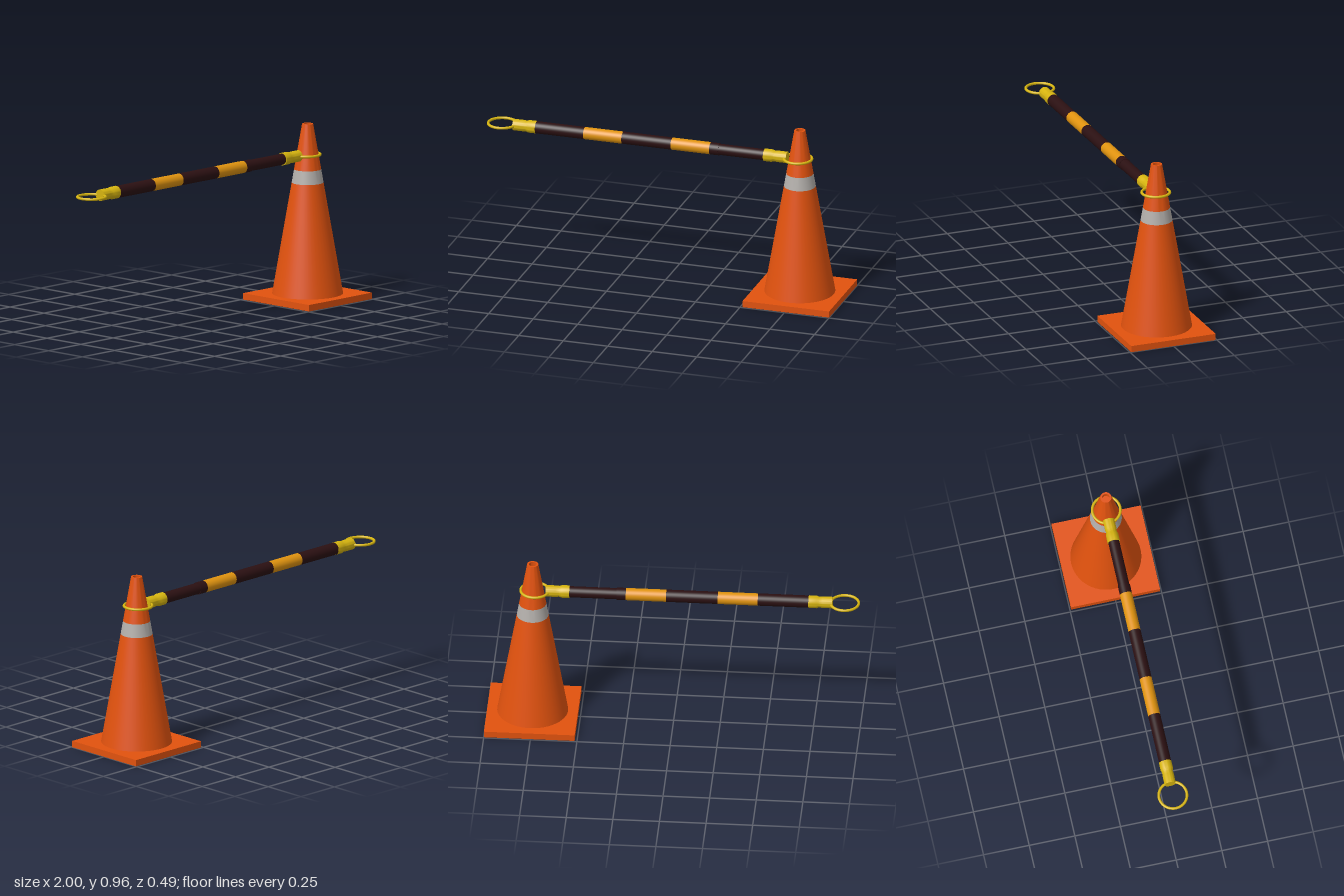
import * as THREE from 'three';
import { toCreasedNormals } from 'three/addons/utils/BufferGeometryUtils.js';

const mat = (name, color) => {
  const m = new THREE.MeshStandardMaterial({ color });
  m.name = name;
  return m;
};

export function createModel() {
  const orange = mat('cone orange', 0xe2520e);
  const grey = mat('reflective grey', 0xb3afab);
  const yellow = mat('cap yellow', 0xd6b40f);
  const amber = mat('bar amber', 0xe0930f);
  const dark = mat('bar dark', 0x2b1012);

  const model = new THREE.Group();
  const CONE_X = 0.756, BAR_Y = 0.791;

  const add = (name, geometry, material, x, y, parent = model) => {
    const mesh = new THREE.Mesh(geometry, material);
    mesh.name = name;
    mesh.position.set(x, y, 0);
    parent.add(mesh);
    return mesh;
  };
  // Turned shape from [radius, height] pairs, with crisp corners
  const turned = (points, sides = 48) => toCreasedNormals(
    new THREE.LatheGeometry(points.map(([r, h]) => new THREE.Vector2(r, h)), sides), 0.5);

  // Traffic cone: square foot, tapered body, grey band, hollow tip
  const cone = new THREE.Group();
  cone.name = 'trafficCone';
  model.add(cone);
  const FOOT = 0.035, TOP = 0.957;
  const radiusAt = (y) => 0.19 + (0.03 - 0.19) * (y - FOOT) / (TOP - FOOT);
  const ringPoint = (y) => [radiusAt(y), y];
  add('foot', new THREE.BoxGeometry(0.487, FOOT, 0.487), orange, CONE_X, FOOT / 2, cone);
  add('lowerCone', turned([ringPoint(FOOT), ringPoint(0.638)]), orange, CONE_X, 0, cone);
  add('reflectiveBand', turned([ringPoint(0.638), ringPoint(0.71)]), grey, CONE_X, 0, cone);
  add('coneTip', turned([ringPoint(0.71), ringPoint(TOP), [0.02, TOP], [0.022, 0.92], [0, 0.92]]),
    orange, CONE_X, 0, cone);

  // Striped bar lying along x: [start, end, radius, material]
  const bar = new THREE.Group();
  bar.name = 'stripedBar';
  model.add(bar);
  const stripes = [
    [-0.725, -0.453, 0.033, dark],
    [-0.453, -0.238, 0.033, amber],
    [-0.238, 0.039, 0.033, dark],
    [0.039, 0.255, 0.033, amber],
    [0.255, 0.305, 0.033, dark],
    [0.305, 0.562, 0.03, dark],
  ];
  stripes.forEach(([a, b, r, material], i) => {
    const stripe = add(`barStripe${i + 1}`, new THREE.CylinderGeometry(r, r, b - a, 32),
      material, (a + b) / 2, BAR_Y, bar);
    stripe.rotation.z = -Math.PI / 2;
  });

  // End caps: a collar, a slight waist and a socket that holds the ring
  const capProfile = [[0, 0], [0.034, 0], [0.034, 0.042], [0.029, 0.056],
    [0.031, 0.075], [0.031, 0.128], [0, 0.128]];
  const ends = [
    ['left', 0.558, -1, 0.745],
    ['right', -0.724, 1, -0.917],
  ];
  for (const [side, x, turn, ringX] of ends) {
    const cap = add(`${side}EndCap`, turned(capProfile, 32), yellow, x, BAR_Y, bar);
    cap.rotation.z = turn * Math.PI / 2;
    const ring = add(`${side}Ring`, new THREE.TorusGeometry(0.0755, 0.0075, 12, 48),
      yellow, ringX, BAR_Y, bar);
    ring.rotation.x = Math.PI / 2;
  }

  return model;
}
